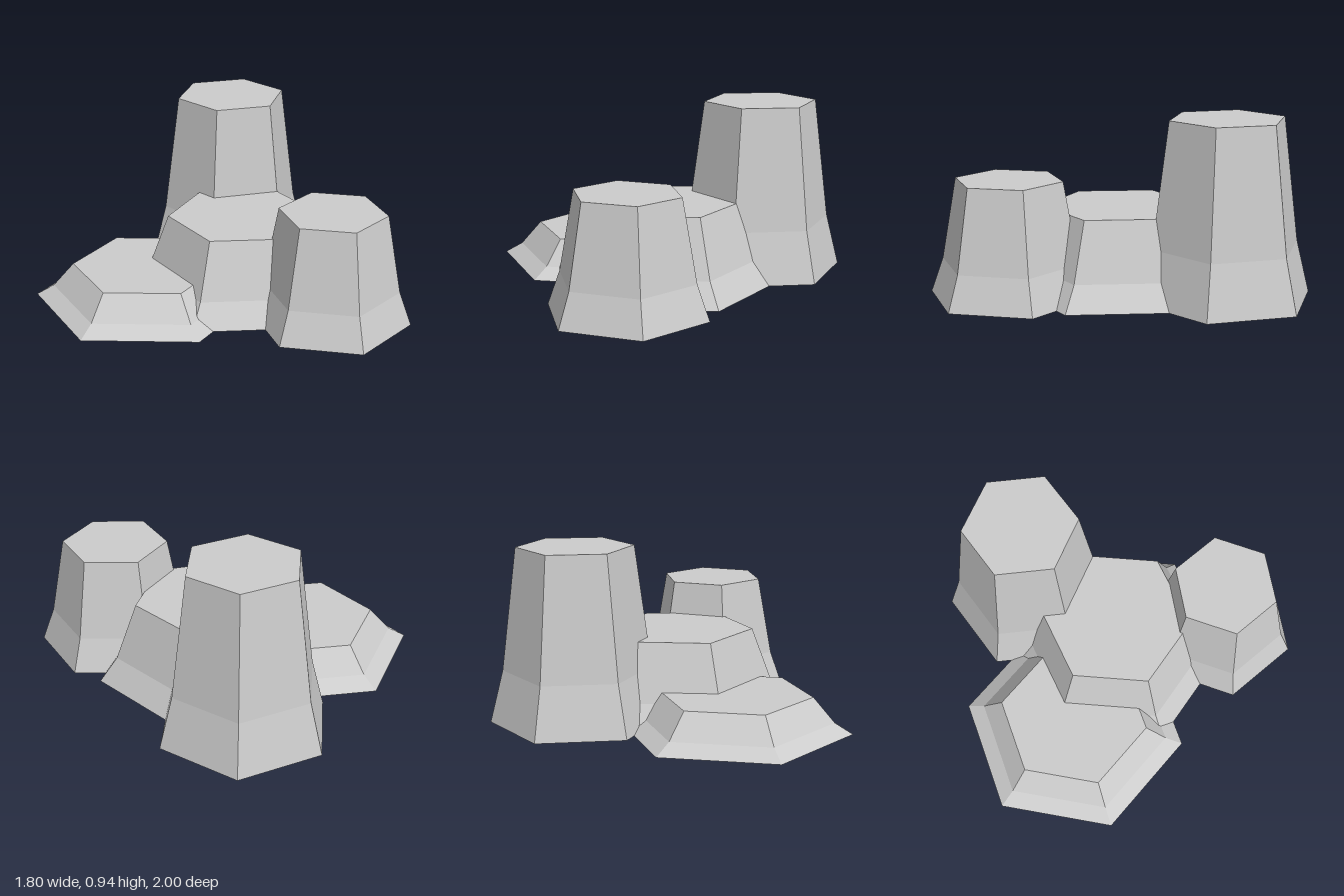
import * as THREE from 'three';

// Hexagonal column with a flared foot: [height fraction, radius fraction]
const PROFILE = [[0, 0], [0, 1], [0.3, 0.845], [1, 0.662], [1, 0]];

// One entry per column; angle is the direction of a corner from +x towards +z, in degrees
const COLUMNS = [
  { name: 'tallColumn', x: 0.455, z: -0.54, radius: 0.47, height: 0.945, angle: 19 },
  { name: 'frontColumn', x: 0.338, z: 0.574, radius: 0.435, height: 0.62, angle: -15 },
  { name: 'middleColumn', x: 0.172, z: -0.012, radius: 0.622, height: 0.442, angle: 30 },
  { name: 'lowColumn', x: -0.333, z: -0.207, radius: 0.621, height: 0.19, angle: 35.7 },
];

function makeColumn({ name, x, z, radius, height, angle }, material) {
  const points = PROFILE.map(([h, r]) => new THREE.Vector2(r * radius, h * height));
  const start = THREE.MathUtils.degToRad(90 - angle);
  const column = new THREE.Mesh(new THREE.LatheGeometry(points, 6, start), material);
  column.name = name;
  column.position.set(x, 0, z);
  return column;
}

export function createModel() {
  const group = new THREE.Group();
  group.name = 'hexagonalRockColumns';
  const stone = new THREE.MeshStandardMaterial({ color: 0xcccccc, flatShading: true });
  for (const spec of COLUMNS) group.add(makeColumn(spec, stone));
  return group;
}
